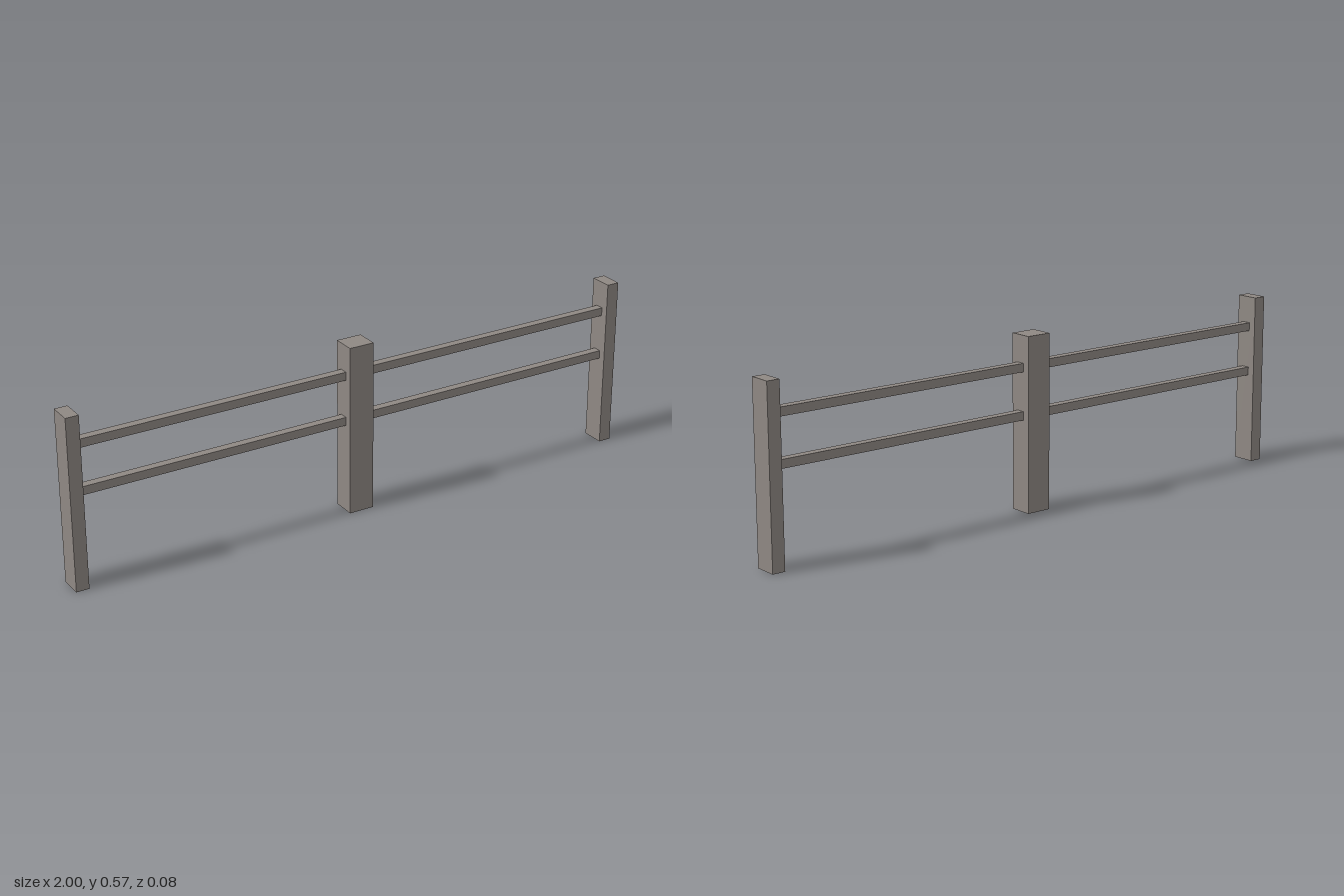
import * as THREE from 'three';

export function createModel() {
  const group = new THREE.Group();
  const wood = new THREE.MeshStandardMaterial({ color: 0x8f8883 });
  wood.name = 'weatheredGrey';

  const addBox = (name, size, position) => {
    const mesh = new THREE.Mesh(new THREE.BoxGeometry(...size), wood);
    mesh.name = name;
    mesh.position.set(...position);
    group.add(mesh);
  };

  const postHeight = 0.573, postDepth = 0.077, postHalf = 0.043;

  // Full-width post in the middle, half-width posts at the ends
  addBox('centrePost', [postHalf * 2, postHeight, postDepth], [0, postHeight / 2, 0]);
  for (const [side, sign] of [['left', 1], ['right', -1]]) {
    addBox(`${side}EndPost`, [postHalf, postHeight, postDepth], [sign * (1 - postHalf / 2), postHeight / 2, 0]);

    // Two square rails span each bay between the post faces
    for (const [level, y] of [['Lower', 0.315], ['Upper', 0.47]]) {
      addBox(`${side}${level}Rail`, [1 - 2 * postHalf, 0.028, 0.028], [sign * 0.5, y, 0]);
    }
  }
  return group;
}
